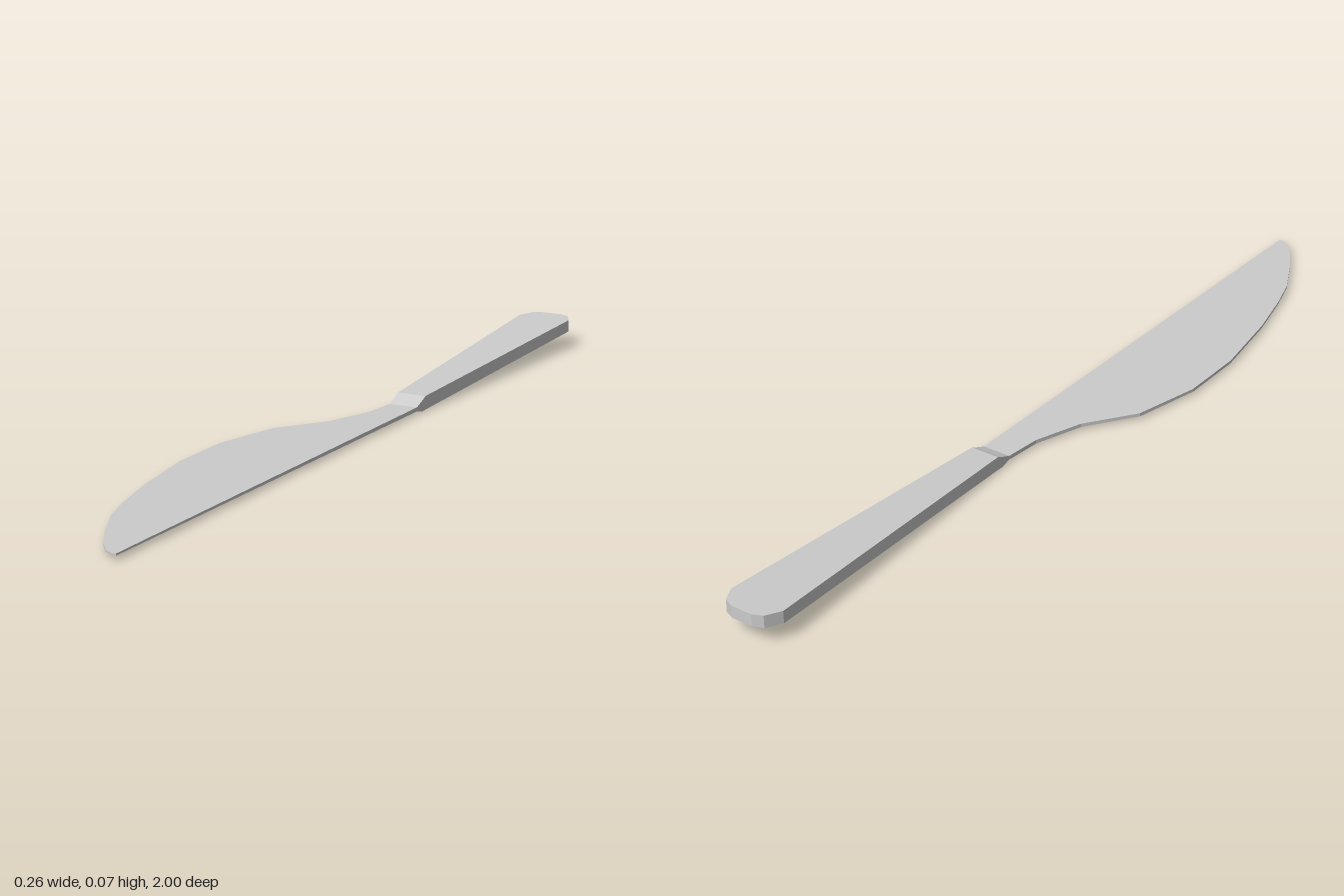
import * as THREE from 'three';

const material = new THREE.MeshStandardMaterial({ color: 0xcccccc, flatShading: true });

// Lofts rectangular sections [z, xLeft, xRight, yBottom, yTop], ordered by rising z.
function loft(name, sections) {
  const rings = sections.map(([z, x0, x1, y0, y1]) =>
    [[x0, y0, z], [x1, y0, z], [x1, y1, z], [x0, y1, z]]);
  const positions = [];
  const quad = (a, b, c, d) => positions.push(...a, ...b, ...c, ...a, ...c, ...d);
  for (let i = 0; i < rings.length - 1; i++) {
    const r = rings[i], s = rings[i + 1];
    for (let k = 0; k < 4; k++) {
      const n = (k + 1) % 4;
      quad(r[k], r[n], s[n], s[k]);
    }
  }
  quad(...rings[rings.length - 1]);
  quad(...[...rings[0]].reverse());
  const geometry = new THREE.BufferGeometry();
  geometry.setAttribute('position', new THREE.Float32BufferAttribute(positions, 3));
  geometry.computeVertexNormals();
  const mesh = new THREE.Mesh(geometry, material);
  mesh.name = name;
  return mesh;
}

export function createModel() {
  const group = new THREE.Group();
  group.name = 'tableKnife';

  // Blade: straight spine on +x, curved cutting edge, thinning towards the tip
  const edge = [
    [-0.2, 0.032], [-0.11, 0.023], [0, -0.016], [0.11, -0.095], [0.265, -0.132],
    [0.42, -0.132], [0.6, -0.104], [0.72, -0.075], [0.8, -0.05], [0.9, 0],
    [0.96, 0.037], [0.99, 0.062], [1, 0.08],
  ];
  group.add(loft('blade', edge.map(([z, x]) => {
    const t = (z + 0.2) / 1.2;
    const half = THREE.MathUtils.lerp(0.0045, 0.002, t);
    return [z, x, 0.098 - 0.008 * t, 0.0105 - half, 0.0105 + half];
  })));

  // Handle: rises and widens backwards, rounded butt, bevelled down to the blade
  const handle = [[-1, 0.024], [-0.99, 0.047], [-0.955, 0.065], [-0.235, 0.034]];
  const sections = handle.map(([z, half]) => {
    const t = (-0.235 - z) / 0.765;
    return [z, 0.065 - half, 0.065 + half, 0.001 + 0.039 * t, 0.032 + 0.036 * t];
  });
  sections[3][3] = 0.001;
  sections.push([-0.22, 0.031, 0.099, 0, 0.025], [-0.195, 0.032, 0.098, 0.006, 0.015]);
  group.add(loft('handle', sections));

  return group;
}
